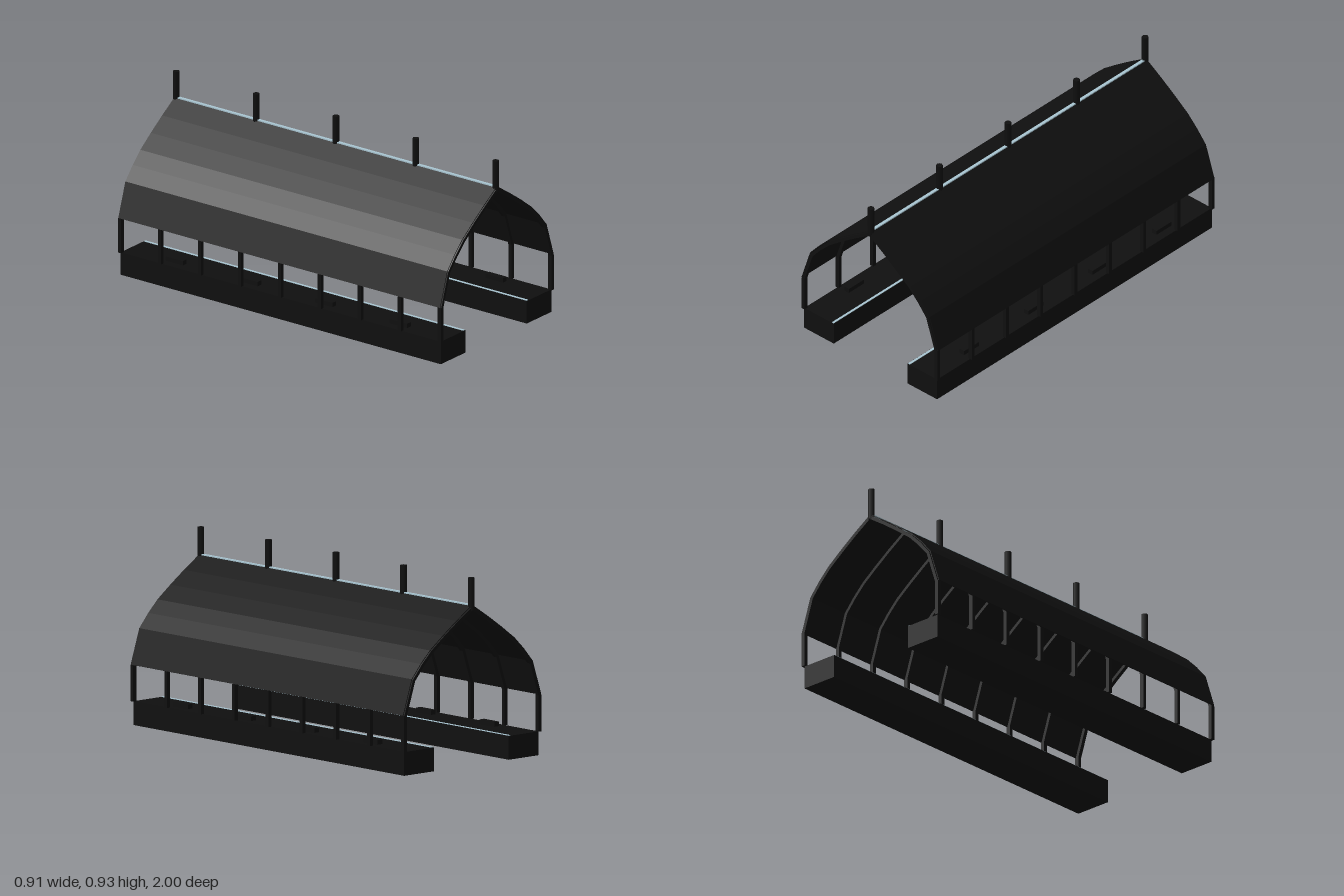
import * as THREE from 'three';

const dark = new THREE.MeshStandardMaterial({ color: 0x0f0f0f });
dark.name = 'black metal';
const pale = new THREE.MeshStandardMaterial({ color: 0xa8c4d0 });
pale.name = 'pale blue light';

// Outer roof curve, from eave to ridge (right half of the cross-section)
const curve = [
  [0.456, 0.3], [0.399, 0.474], [0.34, 0.543], [0.279, 0.603],
  [0.195, 0.666], [0.105, 0.729], [0.005, 0.794],
].map(([x, y]) => new THREE.Vector2(x, y));

// Curve moved inwards by a distance, with mitred corners
function inset(d) {
  const normal = (a, b) => new THREE.Vector2(a.y - b.y, b.x - a.x).normalize();
  return curve.map((p, i) => {
    const n1 = normal(curve[Math.max(i - 1, 0)], curve[Math.max(i, 1)]);
    const last = curve.length - 1;
    const n2 = normal(curve[Math.min(i, last - 1)], curve[Math.min(i + 1, last)]);
    const m = n1.clone().add(n2).normalize();
    return p.clone().addScaledVector(m, d / m.dot(n1));
  });
}

// Band between two insets, mirrored by side and extruded along z
function band(from, to, depth, side, closeRidge) {
  const outer = inset(from), inner = inset(to);
  if (closeRidge) {
    // carry the two arch halves to the centre line
    for (const line of [outer, inner]) {
      const p = line[line.length - 1], q = line[line.length - 2];
      const t = p.x / (q.x - p.x);
      p.set(0, p.y + (p.y - q.y) * t);
    }
  }
  const pts = [...outer, ...inner.reverse()].map((p) => new THREE.Vector2(p.x * side, p.y));
  const geo = new THREE.ExtrudeGeometry(new THREE.Shape(pts), { depth, bevelEnabled: false });
  return geo.translate(0, 0, -depth / 2);
}

export function createModel() {
  const model = new THREE.Group();
  model.name = 'stationShelter';

  const add = (name, geo, mat, x = 0, y = 0, z = 0) => {
    const mesh = new THREE.Mesh(geo, mat);
    mesh.name = name;
    mesh.position.set(x, y, z);
    model.add(mesh);
    return mesh;
  };
  const box = (name, mat, w, h, d, x, y, z) =>
    add(name, new THREE.BoxGeometry(w, h, d), mat, x, y, z);

  for (const side of [-1, 1]) {
    const label = side > 0 ? 'left' : 'right';

    // Platform with a light strip along its inner edge
    box(label + 'Platform', dark, 0.197, 0.118, 1.97, side * 0.344, 0.059, 0);
    box(label + 'EdgeLight', pale, 0.012, 0.006, 1.966, side * 0.254, 0.1175, 0);

    // Benches
    for (const z of [-0.69, -0.23, 0.23, 0.69])
      box(label + 'Bench', dark, 0.03, 0.024, 0.108, side * 0.384, 0.129, z);

    // Roof panel
    add(label + 'RoofPanel', band(0, 0.004, 1.98, side, false), dark);

    // Posts and arched ribs
    const rib = band(0.0065, 0.023, 0.02, side, true);
    for (let i = -4; i <= 4; i++) {
      const z = i * 0.246;
      box(label + 'Post', dark, 0.021, 0.18, 0.02, side * 0.443, 0.208, z);
      add(label + 'Rib', rib, dark, 0, 0, z);
    }
  }

  // Light strip along the ridge
  box('ridgeLight', pale, 0.016, 0.012, 1.97, 0, 0.792, 0);

  // Ridge masts
  const mast = new THREE.CylinderGeometry(0.0165, 0.0165, 0.162, 8);
  for (let i = -2; i <= 2; i++) add('mast', mast, dark, 0, 0.85, i * 0.4915);

  return model;
}
